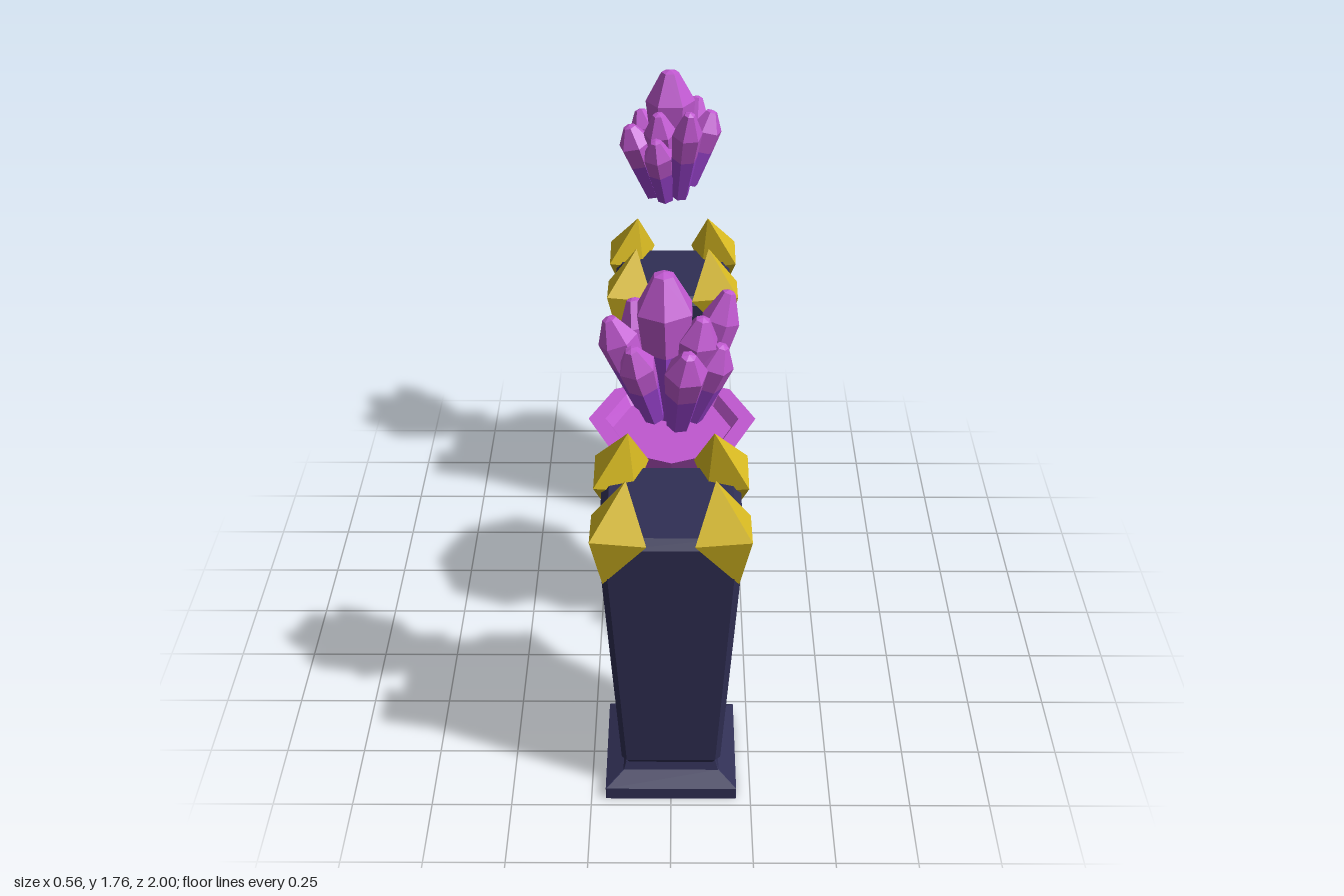
import * as THREE from 'three';
import { mergeGeometries } from 'three/addons/utils/BufferGeometryUtils.js';

const mat = (name, color) => {
  const m = new THREE.MeshStandardMaterial({ color, flatShading: true });
  m.name = name;
  return m;
};

// Square column with chamfered corners; levels are [y, half width, chamfer]
function column(levels) {
  const pos = [], idx = [];
  for (const [y, h, c] of levels) {
    const k = h - c;
    for (const [x, z] of [[k, h], [h, k], [h, -k], [k, -h], [-k, -h], [-h, -k], [-h, k], [-k, h]]) pos.push(x, y, z);
  }
  const last = (levels.length - 1) * 8;
  for (let l = 0; l < last; l += 8) {
    for (let i = 0; i < 8; i++) {
      const a = l + i, b = l + (i + 1) % 8;
      idx.push(a, b, b + 8, a, b + 8, a + 8);
    }
  }
  for (let i = 1; i < 7; i++) idx.push(0, i + 1, i, last, last + i, last + i + 1);
  const g = new THREE.BufferGeometry();
  g.setAttribute('position', new THREE.Float32BufferAttribute(pos, 3));
  g.setIndex(idx);
  g.computeVertexNormals();
  return g;
}

const lathe = (pts, sides) => new THREE.LatheGeometry(pts.map(p => new THREE.Vector2(...p)), sides);

// One crystal from base to tip, as [shaft, point] geometries
function crystal(base, tip, r, turn) {
  const a = new THREE.Vector3(...base), d = new THREE.Vector3(...tip).sub(a);
  const L = d.length();
  const q = new THREE.Quaternion().setFromUnitVectors(new THREE.Vector3(0, 1, 0), d.normalize());
  const m = new THREE.Matrix4().compose(a, q, new THREE.Vector3(1, 1, 1));
  const parts = [
    [[0, 0], [r * 0.55, 0], [r * 0.85, L * 0.48]],
    [[r * 0.85, L * 0.48], [r, L * 0.75], [r * 0.35, L * 0.98], [0, L]],
  ];
  return parts.map(p => lathe(p, 6).rotateY(turn).applyMatrix4(m));
}

export function createModel() {
  const navy = mat('navy stone', 0x302f55);
  const gold = mat('gold', 0xd9bb22);
  const pink = mat('pink crystal', 0xc058d0);
  const violet = mat('violet crystal', 0x9c44d2);
  const model = new THREE.Group();

  const add = (parent, name, geo, material, x = 0, y = 0, z = 0) => {
    const mesh = new THREE.Mesh(geo, material);
    mesh.name = name;
    mesh.position.set(x, y, z);
    parent.add(mesh);
    return mesh;
  };
  const cluster = (name, list) => {
    const g = new THREE.Group();
    g.name = name;
    const made = list.map(([b, t, r], i) => crystal(b, t, r, i * 1.3));
    add(g, 'crystalShafts', mergeGeometries(made.map(c => c[0])), violet);
    add(g, 'crystalPoints', mergeGeometries(made.map(c => c[1])), pink);
    return g;
  };

  // Gold corner spike: outer corner, two wings, apex, foot, hidden inner point
  const spike = new THREE.BufferGeometry();
  spike.setAttribute('position', new THREE.Float32BufferAttribute([
    0.235, 1.0, 0.235, 0.07, 0.985, 0.235, 0.235, 0.985, 0.07,
    0.13, 1.145, 0.13, 0.2, 0.83, 0.2, 0.11, 0.95, 0.11], 3));
  spike.setIndex([0, 3, 1, 0, 2, 3, 0, 1, 4, 0, 4, 2, 5, 1, 3, 5, 3, 2, 5, 4, 1, 5, 2, 4]);
  spike.computeVertexNormals();

  // Floating crystal cluster, tips relative to the pillar axis
  const floating = [
    [-0.02, 1.76, 0.01, 0.088], [0.165, 1.67, -0.06, 0.055], [-0.175, 1.62, 0.01, 0.058],
    [0.05, 1.58, 0.155, 0.062], [-0.11, 1.58, 0.12, 0.055], [-0.02, 1.61, -0.14, 0.058],
    [0.145, 1.56, 0.06, 0.055], [-0.11, 1.63, -0.09, 0.055], [0.09, 1.64, 0.05, 0.06],
  ].map(([x, y, z, r], i) => [[x * 0.42, 1.305 + (i % 3) * 0.015, z * 0.42], [x, y, z], r]);

  for (const s of [1, -1]) {
    const pillar = new THREE.Group();
    pillar.name = s > 0 ? 'frontPillar' : 'backPillar';
    pillar.position.z = 0.765 * s;
    add(pillar, 'plinth', column([[0, 0.205, 0.002], [0.04, 0.205, 0.002], [0.07, 0.15, 0.002], [0.1, 0.142, 0.002]]), navy);
    add(pillar, 'pillarBody', column([[0.095, 0.142, 0.012], [0.115, 0.155, 0.016], [0.955, 0.212, 0.02], [0.985, 0.188, 0.02]]), navy);
    for (let i = 0; i < 4; i++) add(pillar, 'cornerSpike', spike, gold).rotation.y = i * Math.PI / 2;
    const gems = cluster('floatingCrystals', floating);
    gems.position.z = 0.015 * s;
    if (s < 0) gems.rotation.y = -Math.PI / 2;
    pillar.add(gems);
    model.add(pillar);

    // Walkway between pillar and centre, with raised rims and a gold inlay
    add(model, 'walkway', new THREE.BoxGeometry(0.26, 0.028, 0.42), navy, 0, 0.014, 0.38 * s);
    add(model, 'walkwayInlay', new THREE.BoxGeometry(0.2, 0.004, 0.42), gold, 0, 0.03, 0.38 * s);
    for (const x of [0.115, -0.115]) add(model, 'walkwayRim', new THREE.BoxGeometry(0.03, 0.037, 0.42), navy, x, 0.0185, 0.38 * s);
  }

  // Centre pedestal
  add(model, 'pedestalBase', column([[0, 0.203, 0.075], [0.045, 0.203, 0.075], [0.065, 0.185, 0.07]]), navy, 0, 0, 0.01);

  // Basin with stepped rim
  add(model, 'basin', lathe([[0, 0.5], [0.07, 0.5], [0.282, 0.82], [0.225, 0.82], [0.2, 0.785], [0, 0.785]], 8), pink, 0, 0, 0.01);

  // Stem crystals: outer ring, inner ring and the splayed foot
  const stem = [];
  const ring = (n, offset, tipR, tipY, baseR, baseY, r) => {
    for (let i = 0; i < n; i++) {
      const a = offset + i * 2 * Math.PI / n, wob = (i * 5 % 4 - 1.5) / 1.5;
      const s = Math.sin(a), c = Math.cos(a), R = tipR + wob * 0.012;
      stem.push([[s * baseR, baseY, c * baseR], [s * R, tipY + wob * 0.03, c * R], r]);
    }
  };
  ring(7, 0.1, 0.19, 0.68, 0.05, 0.28, 0.05);
  ring(6, 0.4, 0.12, 0.52, 0.02, 0.1, 0.046);
  ring(4, 0.9, 0.08, 0.62, 0.02, 0.07, 0.055);
  ring(9, 0.2, 0.2, 0.1, 0.02, 0.09, 0.032);
  stem.push([[0.01, 0.09, -0.02], [-0.03, 0.27, 0.18], 0.038]);
  stem.push([[0, 0.09, 0.02], [0.03, 0.31, -0.09], 0.035]);
  stem.push([[0, 0.09, 0], [0.14, 0.2, 0.05], 0.035]);
  stem.push([[0, 0.09, 0], [-0.14, 0.2, -0.05], 0.035]);
  const stemGroup = cluster('stemCrystals', stem);
  stemGroup.position.z = 0.01;
  model.add(stemGroup);

  return model;
}
